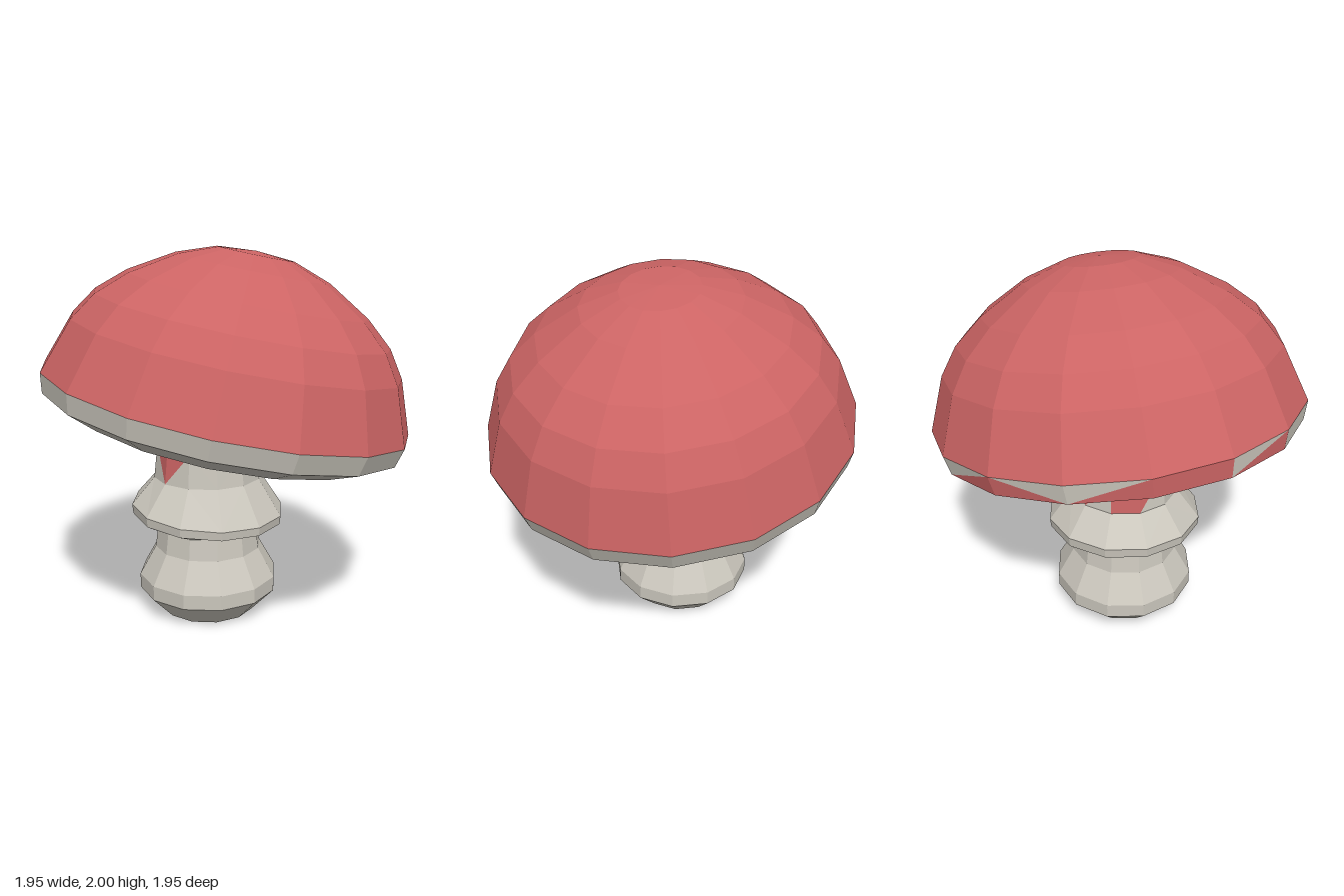
import * as THREE from 'three';

// Slope of the tilted cap along x and z
const TILT_X = -0.15, TILT_Z = -0.134;

// One horizontal ring of points, tilted by slopes sx and sz
function ring(n, { r, y, cx = 0, cz = 0, sx = 0, sz = 0, min = 0 }) {
  return Array.from({ length: n }, (_, i) => {
    const a = (i / n) * Math.PI * 2, dx = r * Math.cos(a), dz = r * Math.sin(a);
    return new THREE.Vector3(cx + dx, Math.max(min, y + dx * sx + dz * sz), cz + dz);
  });
}

// Skin rings from bottom to top; pick(row, segment, isLower) chooses the material index
function loft(name, rings, materials, pick) {
  const lists = materials.map(() => []);
  const tri = (m, a, b, c) => {
    const area = b.clone().sub(a).cross(c.clone().sub(a)).length();
    if (area > 1e-7) for (const p of [a, b, c]) lists[m].push(p.x, p.y, p.z);
  };
  for (let row = 0; row < rings.length - 1; row++) {
    const lo = rings[row], hi = rings[row + 1], n = lo.length;
    for (let i = 0; i < n; i++) {
      const j = (i + 1) % n, lower = pick(row, i, true), upper = pick(row, i, false);
      // alternate the diagonals
      if (i % 2) {
        tri(lower, lo[i], hi[i], lo[j]);
        tri(upper, hi[i], hi[j], lo[j]);
      } else {
        tri(lower, lo[i], hi[j], lo[j]);
        tri(upper, lo[i], hi[i], hi[j]);
      }
    }
  }
  const geometry = new THREE.BufferGeometry();
  geometry.setAttribute('position', new THREE.Float32BufferAttribute(lists.flat(), 3));
  let start = 0;
  lists.forEach((list, m) => {
    geometry.addGroup(start, list.length / 3, m);
    start += list.length / 3;
  });
  geometry.computeVertexNormals();
  const mesh = new THREE.Mesh(geometry, materials);
  mesh.name = name;
  return mesh;
}

export function createModel() {
  const cream = new THREE.MeshStandardMaterial({ color: 0xcbc7bd, flatShading: true });
  cream.name = 'cream';
  const red = new THREE.MeshStandardMaterial({ color: 0xcc6464, flatShading: true });
  red.name = 'red';
  const materials = [cream, red];
  const group = new THREE.Group();
  group.name = 'mushroom';

  // Cap: gills, pale lip and dome, as [radius, height along the tilted axis]
  const gills = [[0.2, -0.07], [0.33, -0.15]].map(([r, h]) =>
    ring(16, { r, y: 1.22 + h, cx: -0.055, cz: -0.09, sx: TILT_X, sz: TILT_Z }));
  const dome = [
    [0.78, -0.18], [0.95, -0.1], [0.975, 0], [0.87, 0.28], [0.775, 0.42],
    [0.63, 0.545], [0.4, 0.68], [0.2, 0.75], [0, 0.765],
  ].map(([r, h]) => ring(16, {
    r, y: 1.21 + h, cx: -TILT_X * h, cz: -TILT_Z * h, sx: TILT_X, sz: TILT_Z, min: 0.89,
  }));
  group.add(loft('cap', [...gills, ...dome], materials, (row, i, lower) => {
    if (row >= 4) return 1;
    // red splashes on the lip at the back
    return row === 3 && i >= 9 && i <= 13 && (lower || i === 10) ? 1 : 0;
  }));

  // Stem: bulb, waist, flared skirt and neck, as [radius, y, slope x, slope z]
  const stem = [
    [0, 0], [0.26, 0], [0.385, 0.13], [0.385, 0.21], [0.295, 0.37], [0.28, 0.485],
    [0.415, 0.55, -0.02, -0.06], [0.42, 0.6, -0.02, -0.07], [0.295, 0.77],
    [0.275, 0.94, -0.05, -0.05], [0.28, 1.09, TILT_X, TILT_Z],
  ].map(([r, y, sx = 0, sz = 0]) => ring(12, { r, y, cx: -0.06, cz: -0.09, sx, sz }));
  const neckRow = 8;
  group.add(loft('stem', stem, materials, (row, i, lower) => {
    // red drips round the back of the neck
    if (row < neckRow || i < 5 || i > 10) return 0;
    return row > neckRow || !lower || i === 8 ? 1 : 0;
  }));

  return group;
}
